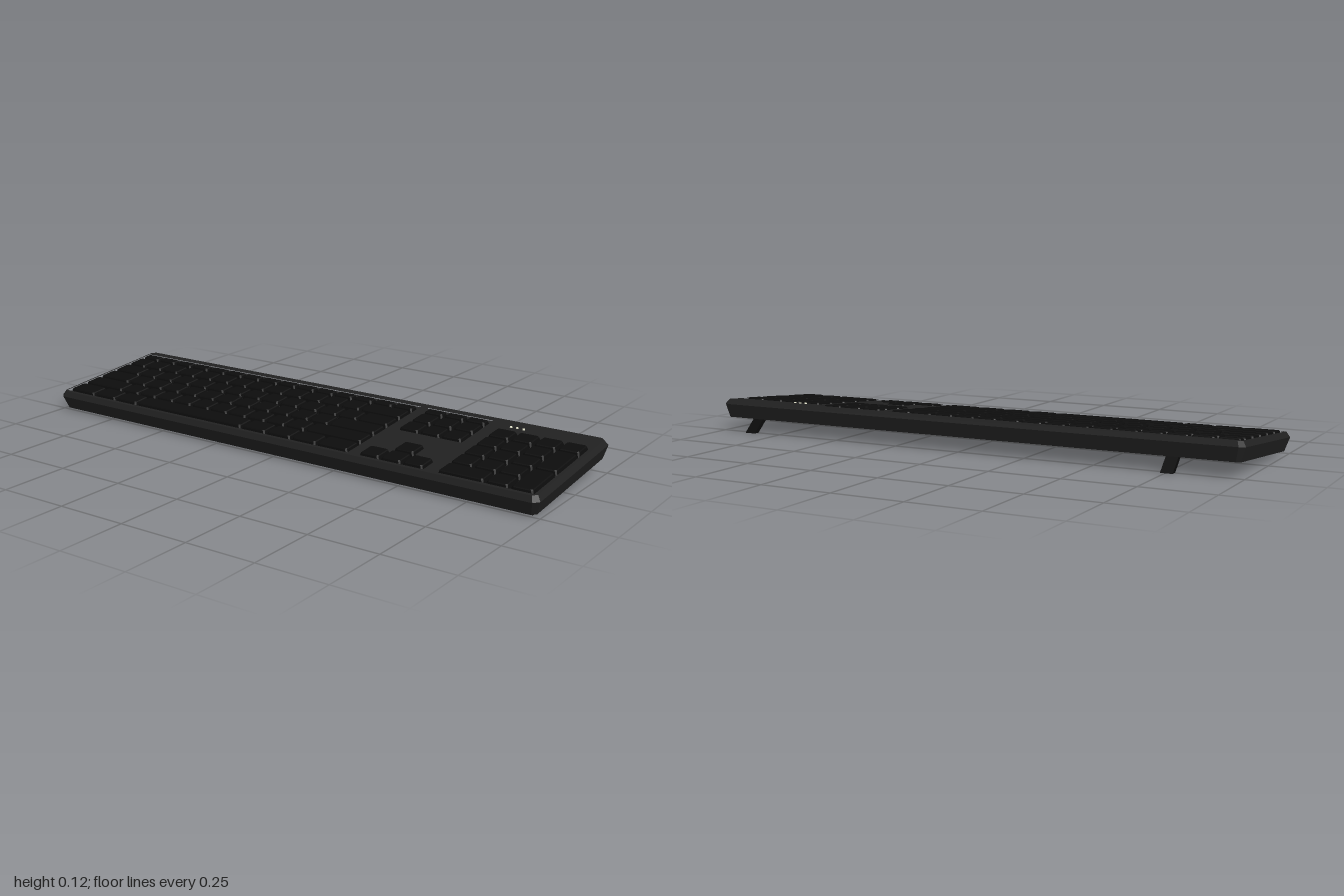
import * as THREE from 'three';

const mat = (color) => new THREE.MeshStandardMaterial({ color, flatShading: true });
const caseMat = mat(0x202020), keyMat = mat(0x0c0c0c), footMat = mat(0x0a0a0a), lampMat = mat(0xe8e8d0);

// Stack of corner-cut rectangles [y, halfX, halfZ, cut], closed at both ends
function loft(levels) {
  const ring = ([y, hx, hz, c]) => [
    [hx, -hz + c], [hx, hz - c], [hx - c, hz], [-hx + c, hz],
    [-hx, hz - c], [-hx, -hz + c], [-hx + c, -hz], [hx - c, -hz],
  ].map(([x, z]) => [x, y, z]);
  const rings = levels.map(ring), out = [];
  const tri = (...p) => p.forEach((v) => out.push(...v));
  for (let k = 0; k + 1 < rings.length; k++) {
    for (let i = 0; i < 8; i++) {
      const j = (i + 1) % 8, lo = rings[k], hi = rings[k + 1];
      tri(lo[i], hi[i], lo[j]);
      tri(lo[j], hi[i], hi[j]);
    }
  }
  const first = rings[0], last = rings[rings.length - 1];
  for (let i = 1; i < 7; i++) {
    tri(first[0], first[i], first[i + 1]);
    if (levels.openTop !== true) tri(last[0], last[i + 1], last[i]);
  }
  const g = new THREE.BufferGeometry();
  g.setAttribute('position', new THREE.Float32BufferAttribute(out, 3));
  g.computeVertexNormals();
  return g;
}

function add(parent, name, geometry, material, x = 0, y = 0, z = 0) {
  const m = new THREE.Mesh(geometry, material);
  m.name = name;
  m.position.set(x, y, z);
  parent.add(m);
  return m;
}

// Outline in plan (x, z); the shape plane is flipped when laid flat
const outline = (pts, Type = THREE.Path) => new Type(pts.map(([x, z]) => new THREE.Vector2(x, -z)));
const rect = (x0, x1, z0, z1) => [[x0, z0], [x1, z0], [x1, z1], [x0, z1]];

const TOP = 0.066, FLOOR = 0.052, KEY_TOP = 0.0705;
// Row edges from back to front
const EDGES = [-0.222, -0.173, -0.091, -0.009, 0.074, 0.156, 0.238];

// One tapered keycap filling a cell
function keycap(parent, x0, x1, row, rows = 1) {
  const z0 = EDGES[row], z1 = EDGES[row + rows];
  const hx = (x1 - x0) / 2 - 0.003, hz = (z1 - z0) / 2 - 0.003;
  const g = loft([
    [FLOOR, hx, hz, 0.004],
    [KEY_TOP - 0.003, hx - 0.004, hz - 0.004, 0.005],
    [KEY_TOP, hx - 0.007, hz - 0.007, 0.005],
  ]);
  add(parent, 'key', g, keyMat, (x0 + x1) / 2, 0, (z0 + z1) / 2);
}

// Row of keys with widths in key units
function keyRow(parent, x, unit, row, widths) {
  for (const w of widths) {
    keycap(parent, x, x + w * unit, row);
    x += w * unit;
  }
}

function cluster(parent, name) {
  const g = new THREE.Group();
  g.name = name;
  parent.add(g);
  return g;
}

export function createModel() {
  const model = new THREE.Group();
  model.name = 'keyboard';

  // Tilted board holding case and keys
  const board = cluster(model, 'board');
  board.position.y = 0.0295;
  board.rotation.x = 0.087;

  // Case shell, open where the deck sits
  const shell = [[0, 0.985, 0.254, 0.014], [0.048, 1, 0.2685, 0.018], [TOP, 0.988, 0.256, 0.014]];
  shell.openTop = true;
  add(board, 'caseShell', loft(shell), caseMat);

  // Deck with key wells
  const hx = 0.988, hz = 0.256, c = 0.014;
  const deckShape = outline([
    [hx, -hz + c], [hx, hz - c], [hx - c, hz], [-hx + c, hz],
    [-hx, hz - c], [-hx, -hz + c], [-hx + c, -hz], [hx - c, -hz],
  ], THREE.Shape);
  const MX = -0.977, MU = 1.275 / 15, NX = 0.338, NU = 0.0825, PX = 0.633, PU = 0.0845;
  const b = 0.005, front = EDGES[6] + b;
  const a0 = NX - b, a1 = NX + NU - b, a2 = NX + 2 * NU + b, a3 = NX + 3 * NU + b;
  deckShape.holes = [
    rect(MX - b, MX + 15 * MU + b, EDGES[0] - b, front),
    rect(a0, a3, EDGES[0] - b, EDGES[3] + b),
    [[a0, front], [a0, EDGES[5] - b], [a1, EDGES[5] - b], [a1, EDGES[4] - b],
      [a2, EDGES[4] - b], [a2, EDGES[5] - b], [a3, EDGES[5] - b], [a3, front]],
    rect(PX - b, PX + 4 * PU + b, EDGES[1] - b, front),
  ].map((p) => outline(p));
  const deck = new THREE.ExtrudeGeometry(deckShape, { depth: TOP - FLOOR, bevelEnabled: false });
  deck.rotateX(-Math.PI / 2);
  add(board, 'deck', deck, caseMat, 0, FLOOR, 0);
  add(board, 'wellFloor', new THREE.BoxGeometry(1.97, 0.01, 0.5), caseMat, 0, FLOOR - 0.004, 0);

  // Main typing block
  const ones = (n) => Array(n).fill(1);
  const main = cluster(board, 'mainKeys');
  [
    ones(15),
    [...ones(13), 2],
    [1.5, ...ones(12), 1.5],
    [1.75, ...ones(11), 2.25],
    [2.25, ...ones(10), 2.75],
    [1.5, 1.25, 1.25, 5.75, 1.25, 1.25, 1.25, 1.5],
  ].forEach((widths, row) => keyRow(main, MX, MU, row, widths));

  // Navigation block and arrows
  const nav = cluster(board, 'navigationKeys');
  for (let row = 0; row < 3; row++) keyRow(nav, NX, NU, row, ones(3));
  const arrows = cluster(board, 'arrowKeys');
  keyRow(arrows, NX + NU, NU, 4, [1]);
  keyRow(arrows, NX, NU, 5, ones(3));

  // Number pad with two tall keys
  const pad = cluster(board, 'numberPadKeys');
  keyRow(pad, PX, PU, 1, ones(4));
  for (const row of [2, 3, 4]) keyRow(pad, PX, PU, row, ones(3));
  keyRow(pad, PX, PU, 5, [2, 1]);
  for (const row of [2, 4]) keycap(pad, PX + 3 * PU, PX + 4 * PU, row, 2);

  // Indicator lamps
  for (let i = 0; i < 3; i++) {
    const lamp = new THREE.CylinderGeometry(0.004, 0.005, 0.006, 12);
    add(board, 'indicatorLamp', lamp, lampMat, 0.672 + i * 0.0235, TOP + 0.001, -0.199);
  }

  // Front pads
  for (const x of [-0.825, 0.953]) {
    add(model, 'frontPad', new THREE.BoxGeometry(0.03, 0.014, 0.026), footMat, x, 0.007, 0.222);
  }

  // Flip-out rear legs, slanting backwards
  const legShape = new THREE.Shape([
    [-0.27, 0], [-0.247, 0], [-0.19, 0.051], [-0.214, 0.051],
  ].map(([z, y]) => new THREE.Vector2(z, y)));
  for (const x of [-0.755, 0.87]) {
    const leg = new THREE.ExtrudeGeometry(legShape, { depth: 0.042, bevelEnabled: false });
    leg.rotateY(-Math.PI / 2);
    add(model, 'rearLeg', leg, footMat, x + 0.021, 0, 0);
  }
  return model;
}
